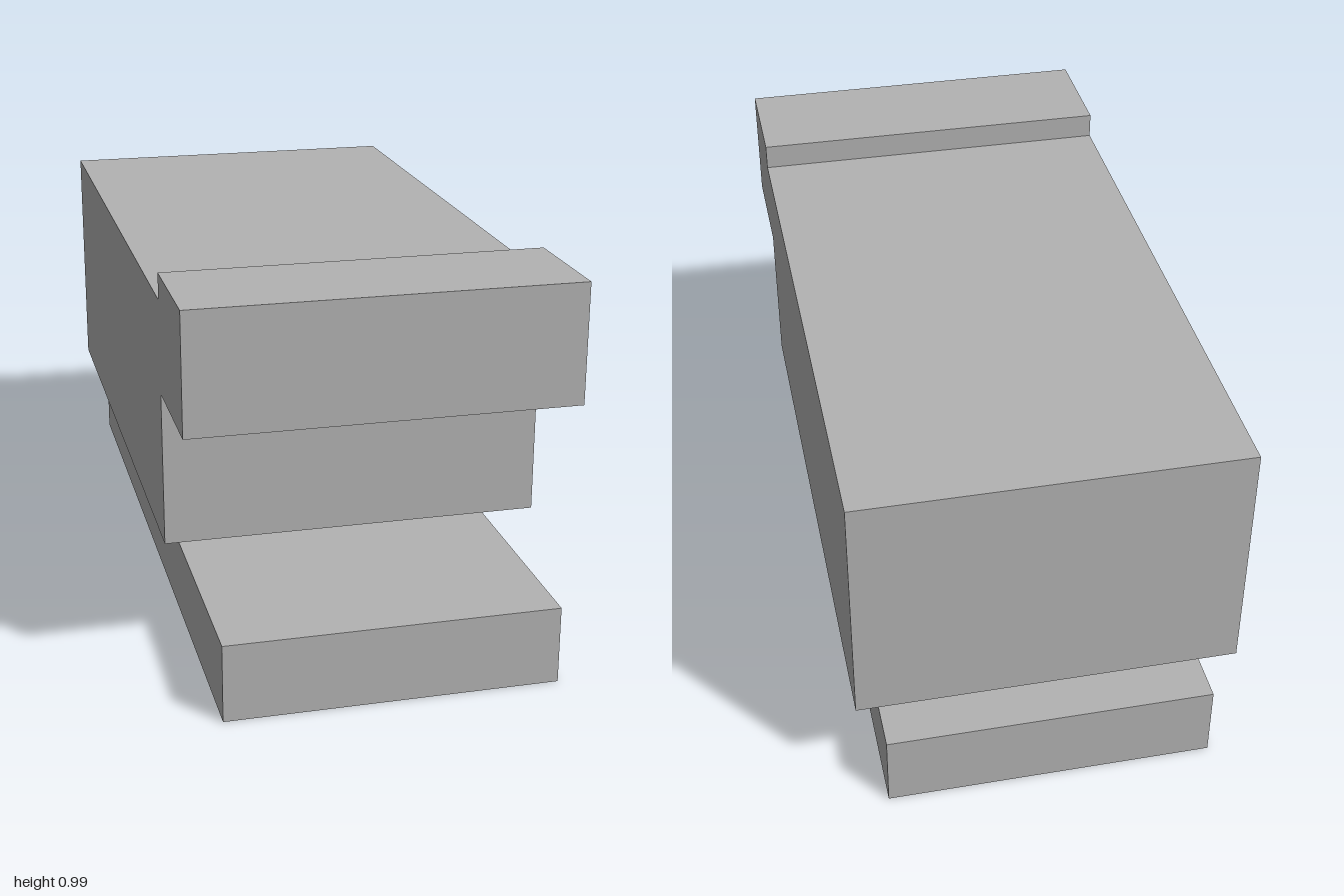
import * as THREE from 'three';

export function createModel() {
  const group = new THREE.Group();
  const grey = new THREE.MeshStandardMaterial({ color: 0xb2b2b2 });
  grey.name = 'grey';

  // Extrudes a side profile of [z, y] points across the width, centred on x = 0
  function slab(name, width, points) {
    const shape = new THREE.Shape(points.map(([z, y]) => new THREE.Vector2(z, y)));
    const geometry = new THREE.ExtrudeGeometry(shape, { depth: width, bevelEnabled: false });
    geometry.translate(0, 0, -width / 2);
    geometry.rotateY(-Math.PI / 2);
    const mesh = new THREE.Mesh(geometry, grey);
    mesh.name = name;
    group.add(mesh);
  }

  const block = (z0, z1, y0, y1) => [[z0, y0], [z1, y0], [z1, y1], [z0, y1]];

  // Base plate and the low spacer near the back
  slab('basePlate', 0.836, block(-1, 1, 0, 0.199));
  slab('spacer', 0.788, block(-0.82, -0.387, 0.199, 0.288));

  // Main body with the raised, overhanging front lip in one piece
  slab('bodyWithFrontLip', 0.968, [
    [-0.956, 0.288], [0.605, 0.288], [0.605, 0.685], [0.913, 0.685],
    [0.913, 0.991], [0.605, 0.991], [0.605, 0.924], [-0.956, 0.924],
  ]);

  return group;
}
